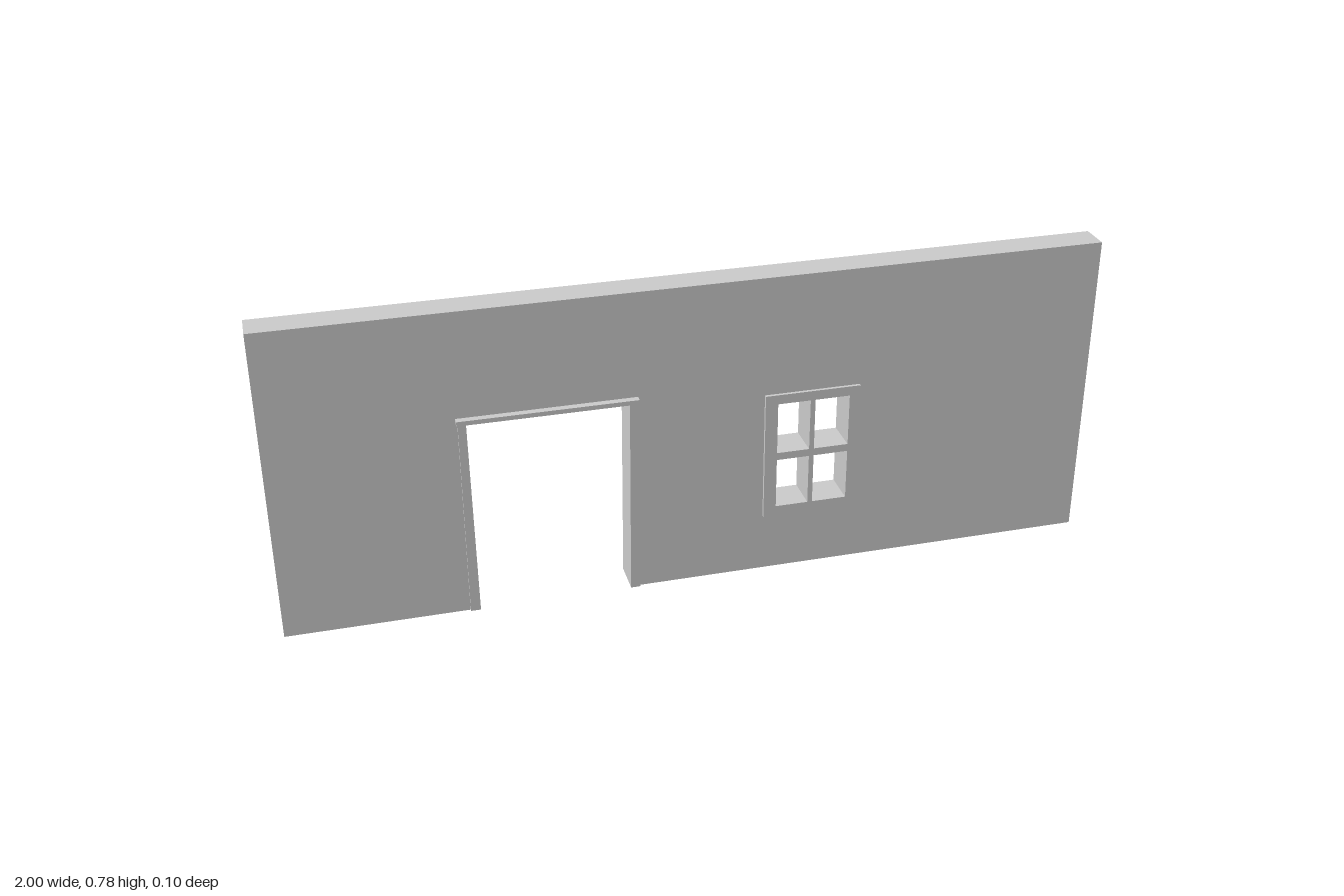
import * as THREE from 'three';

const material = new THREE.MeshStandardMaterial({ color: 0xcccccc, side: THREE.DoubleSide });

const rect = (x0, y0, x1, y1) => [[x0, y0], [x1, y0], [x1, y1], [x0, y1]];
const points = (list) => list.map(([x, y]) => new THREE.Vector2(x, y));

// Removes the faces lying on the ground, leaving the underside open
function openBottom(geometry) {
  const p = geometry.attributes.position;
  const kept = [];
  for (let i = 0; i < p.count; i += 3) {
    const top = Math.max(p.getY(i), p.getY(i + 1), p.getY(i + 2));
    if (top < 1e-5) continue;
    for (let k = i; k < i + 3; k++) kept.push(p.getX(k), p.getY(k), p.getZ(k));
  }
  const result = new THREE.BufferGeometry();
  result.setAttribute('position', new THREE.Float32BufferAttribute(kept, 3));
  result.computeVertexNormals();
  return result;
}

// Upright slab from an outline with holes, between two depths
function slab(name, outline, holes, back, front) {
  const shape = new THREE.Shape(points(outline));
  for (const hole of holes) shape.holes.push(new THREE.Path(points(hole)));
  const geometry = new THREE.ExtrudeGeometry(shape, { depth: front - back, bevelEnabled: false });
  geometry.translate(0, 0, back);
  const mesh = new THREE.Mesh(openBottom(geometry), material);
  mesh.name = name;
  return mesh;
}

export function createModel() {
  const group = new THREE.Group();
  group.name = 'wallWithDoorwayAndWindow';

  const doorL = -0.562, doorR = -0.145, doorTop = 0.517;
  const windowOuter = rect(0.165, 0.15, 0.402, 0.48);

  // Wall, notched for the doorway and cut for the window
  group.add(slab('wall', [
    [-1, 0], [doorL, 0], [doorL, doorTop], [doorR, doorTop], [doorR, 0],
    [1, 0], [1, 0.78], [-1, 0.78],
  ], [windowOuter], -0.042, 0.033));

  // Door frame with slightly tapering jambs
  group.add(slab('doorFrame', [
    [doorL, 0], [-0.538, 0], [-0.543, 0.505], [-0.163, 0.505], [-0.169, 0],
    [doorR, 0], [doorR, doorTop], [doorL, doorTop],
  ], [], -0.048, 0.039));

  // Projecting ledge above the doorway
  group.add(slab('doorLedge', rect(-0.566, 0.506, -0.142, 0.517), [], 0.033, 0.05));

  // Window frame with four panes divided by full-depth bars
  const panes = [];
  for (const [x0, x1] of [[0.196, 0.277], [0.289, 0.375]]) {
    for (const [y0, y1] of [[0.176, 0.305], [0.324, 0.456]]) panes.push(rect(x0, y0, x1, y1));
  }
  group.add(slab('windowFrame', windowOuter, panes, -0.046, 0.041));

  return group;
}
